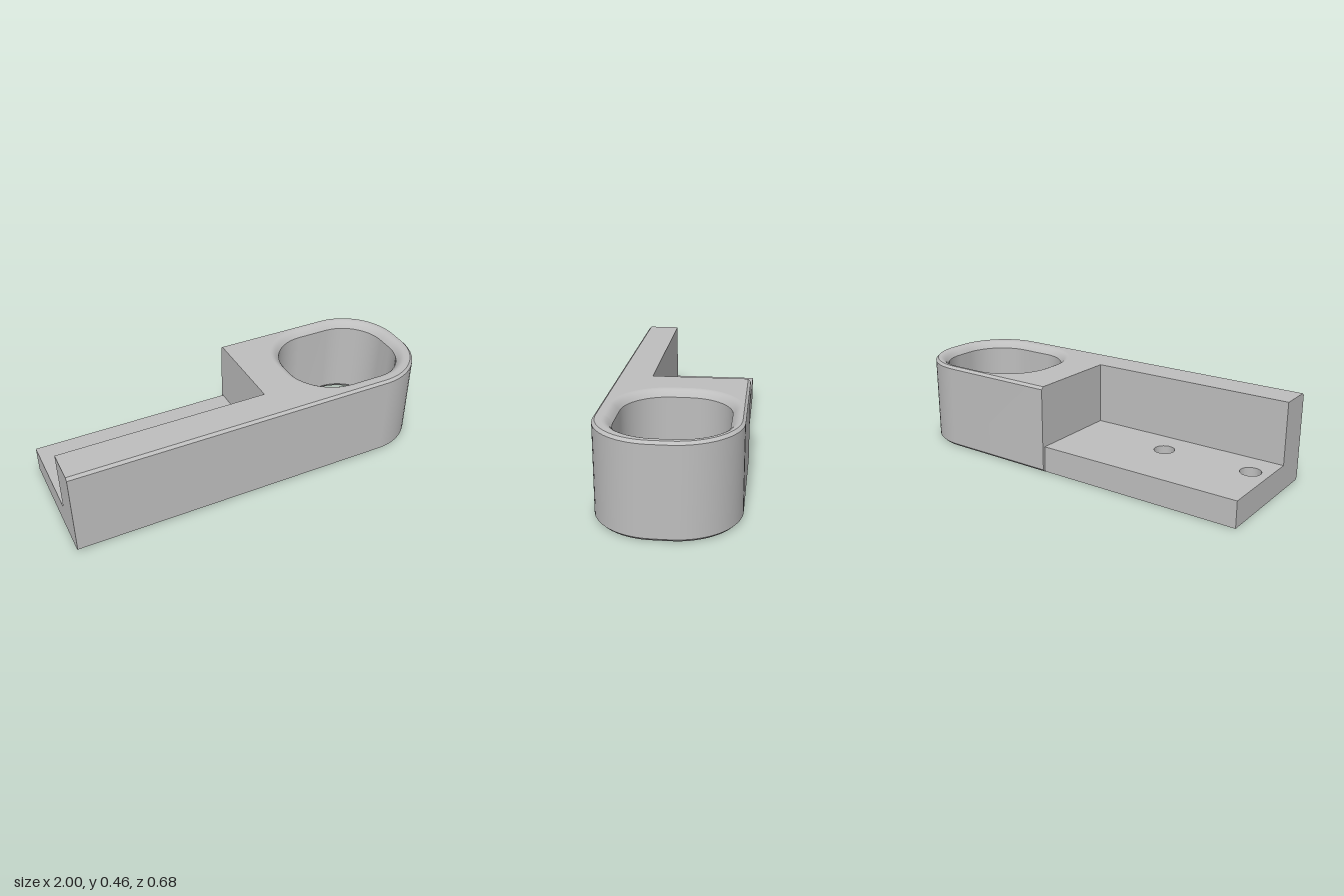
import * as THREE from 'three';
import { toCreasedNormals } from 'three/addons/utils/BufferGeometryUtils.js';

const H = 0.455, HALF = 0.34, CH = 0.013;   // height, half depth, chamfer
const STEP_X = 0.08, WALL_Z = 0.16, PLATE_T = 0.135;
const FLARE = 0.045, DIP = 0.035;           // flared lip around the opening

const metal = new THREE.MeshStandardMaterial({ color: 0xbebebe });
metal.name = 'grey metal';

// Points [x, z] on an arc, running from the front towards the right and back
function arc(cx, cz, r, from, to, n = 16) {
  return Array.from({ length: n + 1 }, (_, i) => {
    const a = from + (to - from) * i / n;
    return [cx + r * Math.cos(a), cz + r * Math.sin(a)];
  });
}

// Outer edge: front wall, rounded end, back of the block
function outline(inset) {
  const r = 0.3 - inset;
  return [
    [-1, HALF - inset],
    ...arc(0.7, 0.04, r, Math.PI / 2, 0),
    ...arc(0.7, -0.04, r, 0, -Math.PI / 2),
    [STEP_X, -HALF + inset],
  ];
}

// Rounded rectangular opening
function opening(grow) {
  const r = 0.2225 + grow, q = Math.PI / 2, pts = [];
  [[1, 1], [1, -1], [-1, -1], [-1, 1]].forEach(([sx, sz], i) => {
    pts.push(...arc(0.617 + sx * 0.085, -0.0125 + sz * 0.04, r, q - i * q, -i * q));
  });
  return [...pts, pts[0]];
}

// Skin between rows of { pts, y }, smooth within one skin
function loft(rows) {
  const n = rows[0].pts.length, pos = [], idx = [];
  for (const { pts, y } of rows) for (const [x, z] of pts) pos.push(x, y, z);
  for (let j = 0; j < rows.length - 1; j++) {
    for (let i = 0; i < n - 1; i++) {
      const a = j * n + i, b = a + n;
      idx.push(a, a + 1, b + 1, a, b + 1, b);
    }
  }
  const g = new THREE.BufferGeometry();
  g.setAttribute('position', new THREE.Float32BufferAttribute(pos, 3));
  g.setIndex(idx);
  g.computeVertexNormals();
  return g;
}

const shapeOf = (pts) => new THREE.Shape(pts.map(([x, y]) => new THREE.Vector2(x, y)));

// Flat face of the body, up = 1 for the top and -1 for the underside
function cap(up) {
  const flip = ([x, z]) => [x, -up * z];
  const s = shapeOf([...outline(CH), [STEP_X, WALL_Z], [-1, WALL_Z]].map(flip));
  s.holes.push(shapeOf(opening(FLARE).slice(0, -1).map(flip)));
  return new THREE.ShapeGeometry(s).rotateX(-up * Math.PI / 2).translate(0, up > 0 ? H : 0, 0);
}

// Upright face looking towards -x, from [z, y] points
const endFace = (pts, x) => new THREE.ShapeGeometry(shapeOf(pts)).rotateY(-Math.PI / 2).translate(x, 0, 0);

export function createModel() {
  const model = new THREE.Group();
  model.name = 'bracket';
  const add = (name, geometry) => {
    const mesh = new THREE.Mesh(geometry, metal);
    mesh.name = name;
    model.add(mesh);
  };

  // Outer skin with chamfered edges
  add('outerWall', loft([{ pts: outline(0), y: CH }, { pts: outline(0), y: H - CH }]));
  add('bottomChamfer', loft([{ pts: outline(CH), y: 0 }, { pts: outline(0), y: CH }]));
  add('topChamfer', loft([{ pts: outline(0), y: H - CH }, { pts: outline(CH), y: H }]));
  add('topFace', cap(1));
  add('bottomFace', cap(-1));

  // Opening with flared lips at both ends
  const lip = [0, 1, 2, 3, 4, 5, 6].map((i) => ({ t: i / 6, pts: opening(FLARE * (1 - i / 6)) }));
  add('topLip', loft(lip.map(({ t, pts }) => ({ pts, y: H - DIP * t * t }))));
  add('bottomLip', loft(lip.map(({ t, pts }) => ({ pts, y: DIP * t * t })).reverse()));
  add('openingWall', loft([{ pts: opening(0), y: H - DIP }, { pts: opening(0), y: DIP }]));

  // Flat ends of the block and of the long wall
  add('blockEnd', endFace([
    [-HALF + CH, 0], [WALL_Z, 0], [WALL_Z, H], [-HALF + CH, H], [-HALF, H - CH], [-HALF, CH],
  ], STEP_X));
  add('wallEnd', endFace([
    [WALL_Z, 0], [HALF - CH, 0], [HALF, CH], [HALF, H - CH], [HALF - CH, H], [WALL_Z, H],
  ], -1));
  add('wallBack', new THREE.PlaneGeometry(1 + STEP_X, H - PLATE_T).rotateY(Math.PI)
    .translate((STEP_X - 1) / 2, (H + PLATE_T) / 2, WALL_Z));

  // Mounting plate with two screw holes
  const plate = shapeOf([[-1, -WALL_Z], [STEP_X, -WALL_Z], [STEP_X, 0.325], [-1, 0.325]]);
  for (const x of [-0.905, -0.43]) {
    plate.holes.push(new THREE.Path().absarc(x, 0, 0.052, 0, Math.PI * 2, true));
  }
  const plateGeometry = new THREE.ExtrudeGeometry(plate, { depth: PLATE_T, bevelEnabled: false, curveSegments: 32 });
  add('mountingPlate', toCreasedNormals(plateGeometry.rotateX(-Math.PI / 2), 0.6));

  return model;
}
